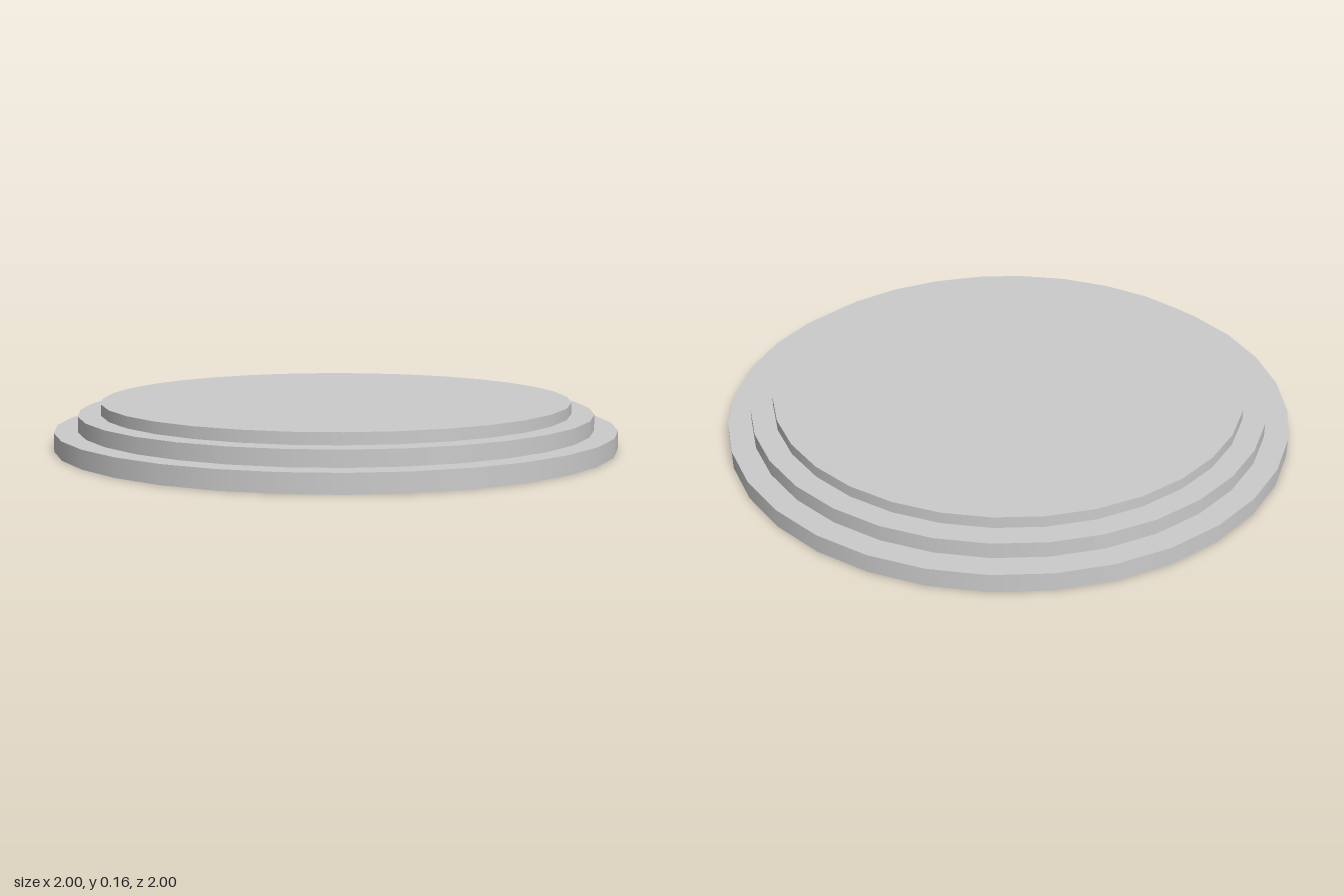
import * as THREE from 'three';

const SEGMENTS = 32;

// Stacked discs: name, radius, bottom and top height
const TIERS = [
  ['lowerTier', 1.0, 0, 0.065],
  ['middleTier', 0.917, 0.065, 0.12],
  ['upperTier', 0.837, 0.12, 0.16],
];

export function createModel() {
  const group = new THREE.Group();
  group.name = 'steppedRoundBase';
  const material = new THREE.MeshStandardMaterial({ color: 0xcccccc });

  for (const [name, radius, bottom, top] of TIERS) {
    const tier = new THREE.Mesh(
      new THREE.CylinderGeometry(radius, radius, top - bottom, SEGMENTS),
      material
    );
    tier.name = name;
    tier.position.y = (bottom + top) / 2;
    group.add(tier);
  }
  return group;
}
